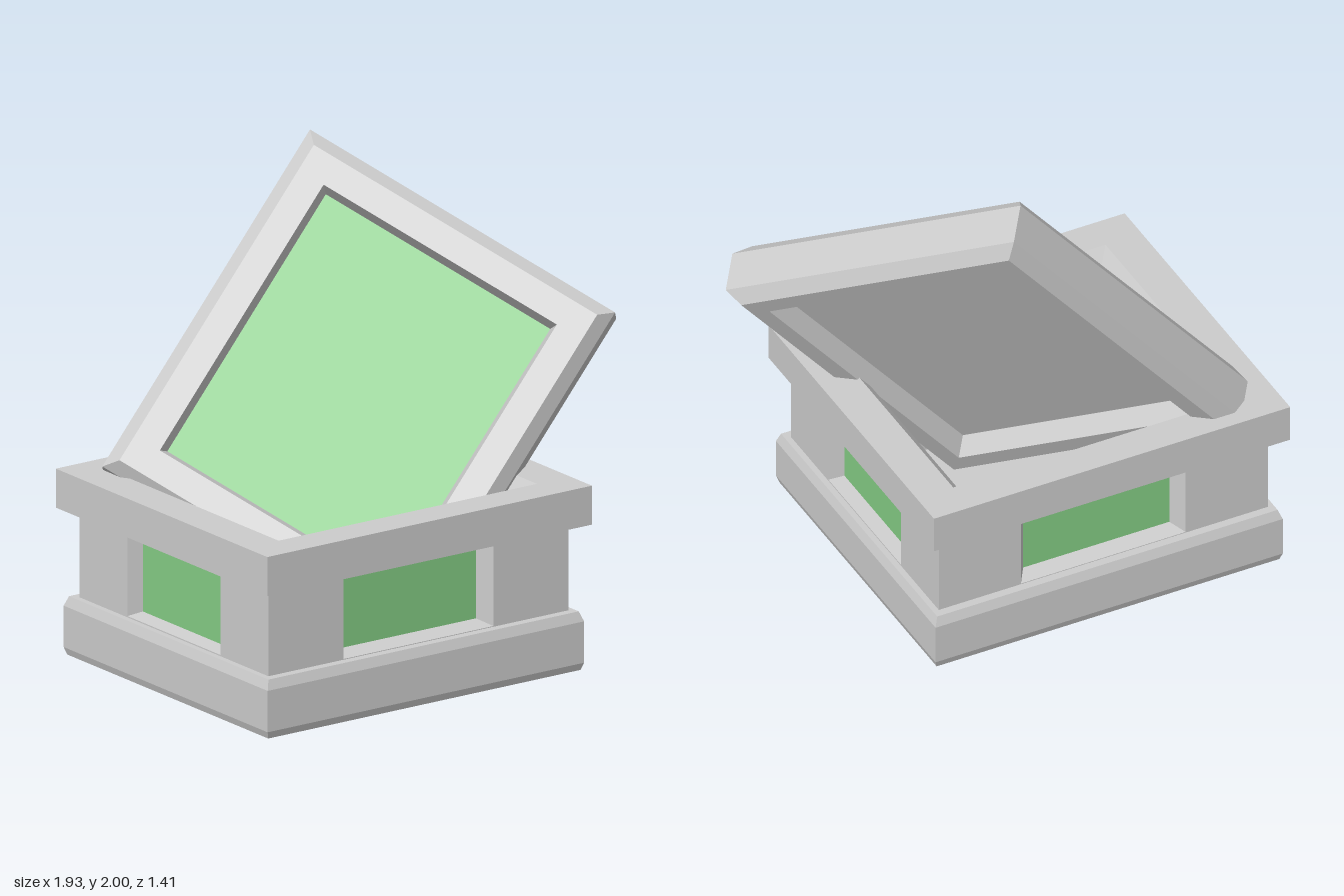
import * as THREE from 'three';

const grey = new THREE.MeshStandardMaterial({ color: 0xcccccc, flatShading: true });
const green = new THREE.MeshStandardMaterial({ color: 0x84cc84, flatShading: true });

// Skin a list of rectangular rings [halfX, halfZ, y]; either close the loop or cap both ends.
function rectLoft(rings, loop) {
  const pos = [], idx = [];
  for (const [a, b, y] of rings) pos.push(a, y, b, a, y, -b, -a, y, -b, -a, y, b);
  const n = rings.length;
  for (let i = 0; i < (loop ? n : n - 1); i++) {
    const p = i * 4, q = ((i + 1) % n) * 4;
    for (let k = 0; k < 4; k++) {
      const m = (k + 1) % 4;
      idx.push(p + k, p + m, q + m, p + k, q + m, q + k);
    }
  }
  if (!loop) {
    const e = (n - 1) * 4;
    idx.push(0, 2, 1, 0, 3, 2, e, e + 1, e + 2, e, e + 2, e + 3);
  }
  const g = new THREE.BufferGeometry();
  g.setAttribute('position', new THREE.Float32BufferAttribute(pos, 3));
  g.setIndex(idx);
  const flat = g.toNonIndexed();
  flat.computeVertexNormals();
  return flat;
}

function add(parent, name, geometry, material) {
  const mesh = new THREE.Mesh(geometry, material);
  mesh.name = name;
  parent.add(mesh);
  return mesh;
}

// Wall with a splayed window and a coloured panel; local y points outward.
function makeWall(name, halfW, thick, outer, inner) {
  const wall = new THREE.Group();
  wall.name = name;
  const depth = 0.06, [ow, oh] = outer, [iw, ih] = inner;
  add(wall, name + 'Frame', rectLoft([
    [halfW, 0.18, -thick], [halfW, 0.18, 0], [ow, oh, 0],
    [iw, ih, -depth], [iw, ih, -thick],
  ], true), grey);
  add(wall, name + 'Panel', new THREE.BoxGeometry(iw * 2, 0.03, ih * 2), green)
    .position.y = -depth - 0.015;
  wall.rotation.x = Math.PI / 2;
  return wall;
}

function makeLid() {
  const lid = new THREE.Group();
  lid.name = 'lid';
  // chamfered frame, recessed on both faces
  add(lid, 'lidFrame', rectLoft([
    [0.73, 0.65, -0.13], [0.78, 0.70, -0.08], [0.78, 0.70, 0.08], [0.73, 0.65, 0.13],
    [0.615, 0.535, 0.13], [0.595, 0.515, 0.063], [0.595, 0.515, -0.03],
    [0.65, 0.57, -0.03], [0.65, 0.57, -0.13],
  ], true), grey);
  add(lid, 'lidPanel', new THREE.BoxGeometry(1.19, 0.063, 1.03), green).position.y = 0.0315;
  add(lid, 'lidBacking', new THREE.BoxGeometry(1.19, 0.03, 1.03), grey).position.y = -0.015;
  // leaning inside the chest
  const z = new THREE.Vector3(0.76, -0.64, 0.99).normalize();
  const x = new THREE.Vector3(1, 1.2, 0.02).normalize();
  const y = z.clone().cross(x).normalize();
  x.crossVectors(y, z);
  lid.quaternion.setFromRotationMatrix(new THREE.Matrix4().makeBasis(x, y, z));
  lid.position.set(0.044, 1.044, -0.08);
  return lid;
}

export function createModel() {
  const model = new THREE.Group();
  model.name = 'openChest';
  const chest = new THREE.Group();
  chest.name = 'chest';
  chest.position.x = -0.185;
  model.add(chest);

  // hollow base with softened edges
  add(chest, 'base', rectLoft([
    [0.755, 0.67, 0], [0.765, 0.68, 0.03], [0.765, 0.68, 0.2], [0.75, 0.665, 0.24],
    [0.575, 0.5, 0.24], [0.575, 0.5, 0.08],
  ], false), grey);

  // four walls: front, left, back, right
  ['frontWall', 'leftWall', 'backWall', 'rightWall'].forEach((name, i) => {
    const side = i % 2 === 1;
    const wall = side
      ? makeWall(name, 0.5, 0.15, [0.31, 0.175], [0.29, 0.162])
      : makeWall(name, 0.725, 0.13, [0.363, 0.177], [0.322, 0.153]);
    wall.position.set(0, 0.42, side ? 0.725 : 0.63);
    const turn = new THREE.Group();
    turn.name = name + 'Side';
    turn.rotation.y = i * Math.PI / 2;
    turn.add(wall);
    chest.add(turn);
  });

  // solid corners that finish the side walls
  for (const sx of [-1, 1]) for (const sz of [-1, 1]) {
    add(chest, 'cornerPost', new THREE.BoxGeometry(0.15, 0.36, 0.13), grey)
      .position.set(sx * 0.65, 0.42, sz * 0.565);
  }

  // top rim with bevelled opening
  add(chest, 'rim', rectLoft([
    [0.785, 0.705, 0.6], [0.785, 0.705, 0.76], [0.625, 0.56, 0.76],
    [0.575, 0.5, 0.7], [0.575, 0.5, 0.6],
  ], true), grey);

  model.add(makeLid());
  return model;
}
